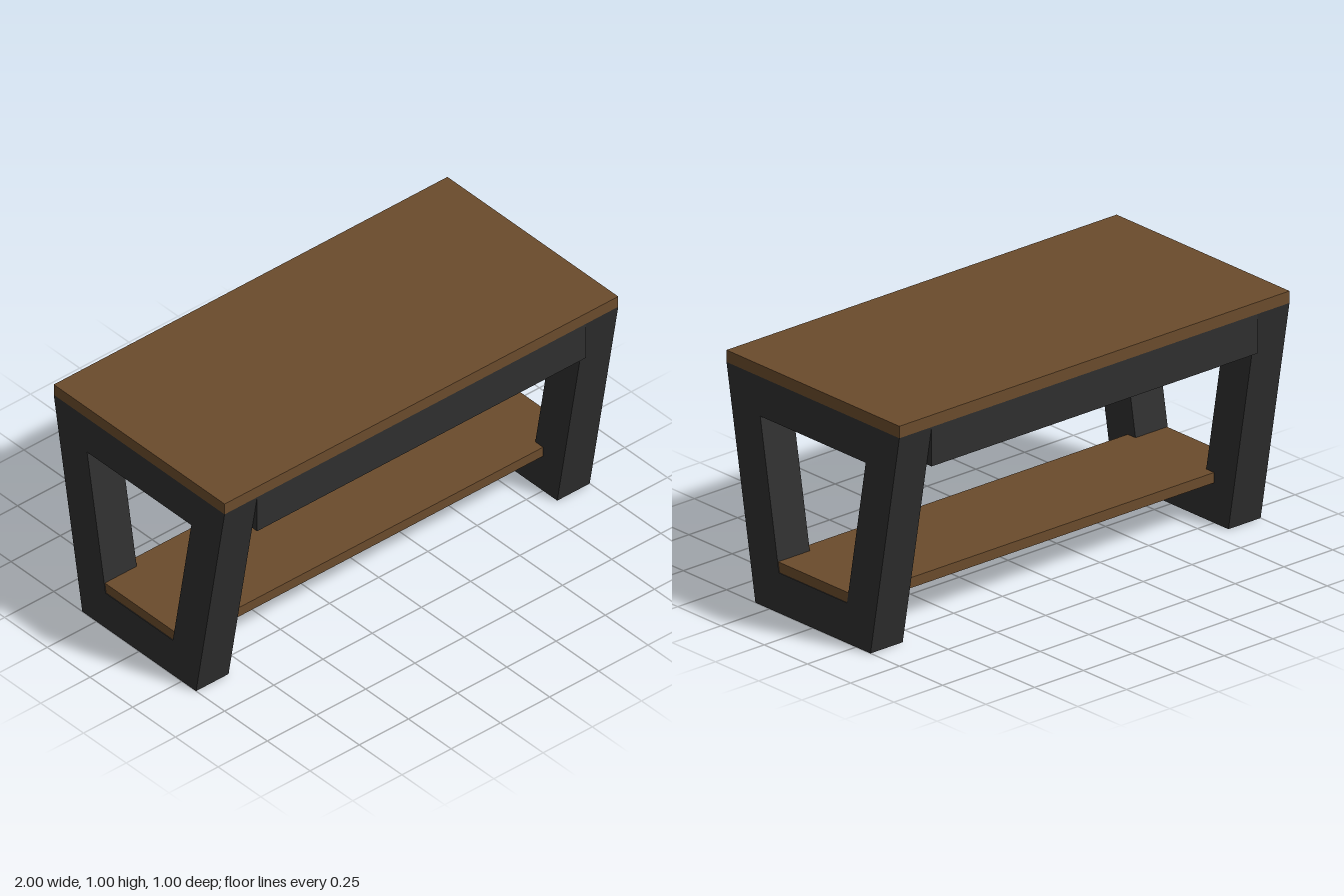
import * as THREE from 'three';

export function createModel() {
  const wood = new THREE.MeshStandardMaterial({ color: 0x6a4b2c });
  wood.name = 'brown wood';
  const metal = new THREE.MeshStandardMaterial({ color: 0x2e2e2e });
  metal.name = 'charcoal frame';

  const BEAM = 0.165;       // square beam size
  const TOP = 0.95;         // underside of the table top
  const INNER = 1 - BEAM;   // inner face of the leg frames

  const model = new THREE.Group();
  model.name = 'table';

  function add(geometry, material, name, x, y, z) {
    const mesh = new THREE.Mesh(geometry, material);
    mesh.name = name;
    mesh.position.set(x, y, z);
    model.add(mesh);
    return mesh;
  }

  // Table top and lower shelf; the shelf passes into the leg frames
  add(new THREE.BoxGeometry(2, 0.05, 1), wood, 'tableTop', 0, 0.975, 0);
  add(new THREE.BoxGeometry(1.994, 0.043, 0.5), wood, 'shelf', 0, 0.1885, 0);

  // Trapezoid leg frame with a tapered opening
  const outline = new THREE.Shape([[-0.333, 0], [0.333, 0], [0.5, TOP], [-0.5, TOP]]
    .map(([x, y]) => new THREE.Vector2(x, y)));
  outline.holes.push(new THREE.Path([[-0.197, 0.167], [-0.305, 0.786], [0.305, 0.786], [0.197, 0.167]]
    .map(([x, y]) => new THREE.Vector2(x, y))));
  const frame = new THREE.ExtrudeGeometry(outline, { depth: BEAM, bevelEnabled: false });
  frame.translate(0, 0, -BEAM / 2).rotateY(Math.PI / 2);

  // One leg frame at each end, one rail along each long side
  for (const side of [1, -1]) {
    add(frame, metal, side > 0 ? 'leftLegFrame' : 'rightLegFrame', side * (1 - BEAM / 2), 0, 0);
    add(new THREE.BoxGeometry(2 * INNER, 0.164, BEAM), metal, side > 0 ? 'frontRail' : 'backRail',
      0, TOP - 0.082, side * (0.5 - BEAM / 2));
  }

  return model;
}
